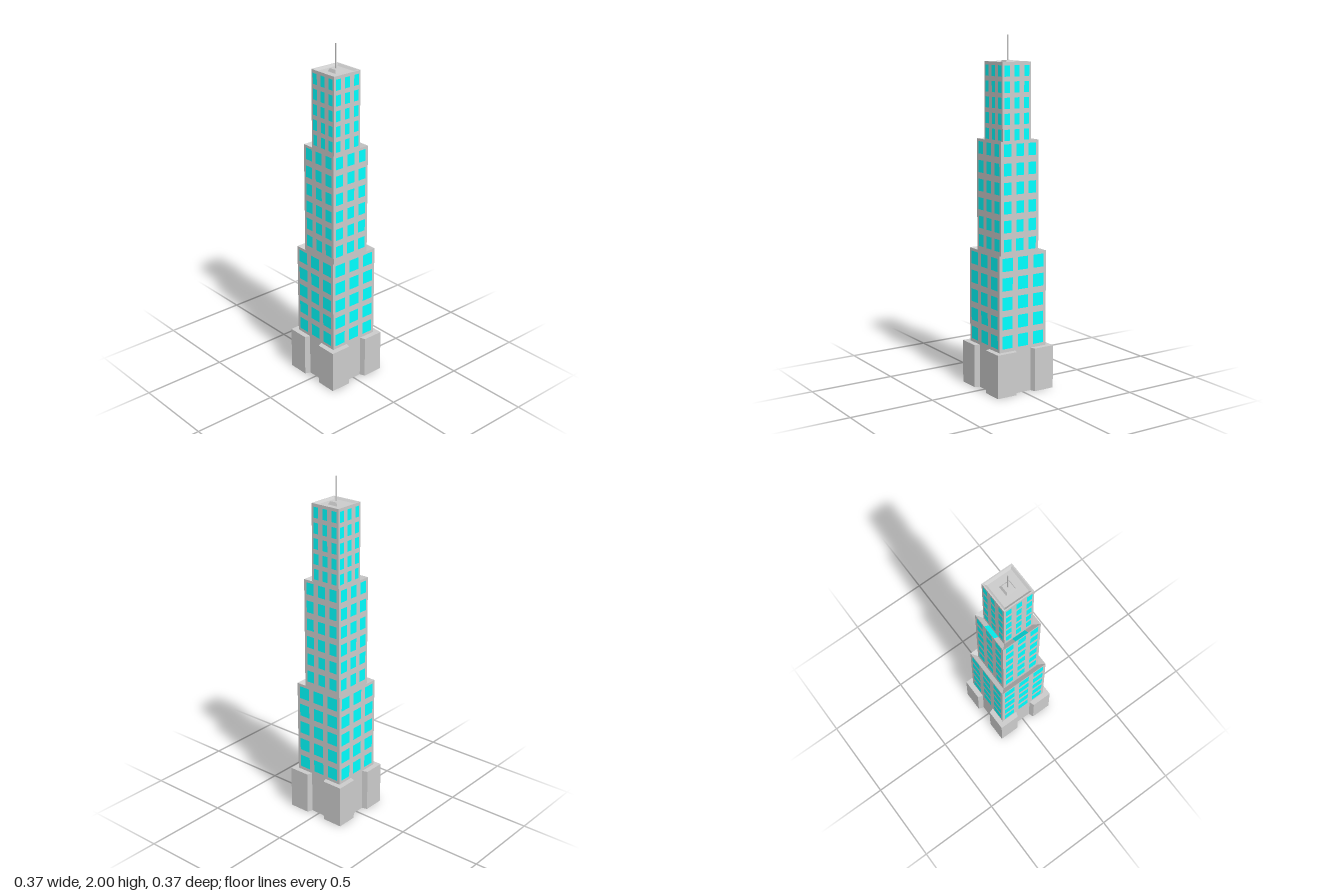
import * as THREE from 'three';

const grey = new THREE.MeshStandardMaterial({ color: 0xcccccc, flatShading: true });
const cyan = new THREE.MeshStandardMaterial({ color: 0x00ffff });

function addMesh(parent, name, geometry, material) {
  const mesh = new THREE.Mesh(geometry, material);
  mesh.name = name;
  parent.add(mesh);
  return mesh;
}

// Square "lathe": profile of [half width, y], listed bottom to top and then inward
function squareLoft(profile) {
  const points = profile.map(([w, y]) => new THREE.Vector2(w * Math.SQRT2, y));
  const geometry = new THREE.LatheGeometry(points, 4, Math.PI / 4).toNonIndexed();
  geometry.computeVertexNormals();
  return geometry;
}

// Each tier's rim slopes down and inward to meet the wall of the next tier
const tiers = [
  {
    name: 'lowerTier', half: 0.156,
    profile: [[0.156, 0.251], [0.156, 0.802], [0.1245, 0.772]],
    columns: 0.1035, width: 0.069, rows: 5, firstRow: 0.307, pitch: 0.1105, height: 0.074,
  },
  {
    name: 'middleTier', half: 0.1245,
    profile: [[0.1245, 0.772], [0.1245, 1.427], [0.093, 1.397]],
    columns: 0.082, width: 0.05, rows: 6, firstRow: 0.849, pitch: 0.1058, height: 0.069,
  },
  {
    name: 'upperTier', half: 0.093,
    profile: [[0.093, 1.397], [0.093, 1.856], [0.086, 1.856], [0.074, 1.845], [0.0, 1.845]],
    columns: 0.064, width: 0.033, rows: 5, firstRow: 1.458, pitch: 0.0873, height: 0.061,
  },
];

function buildTier(tier) {
  const group = new THREE.Group();
  group.name = tier.name;
  addMesh(group, tier.name + 'Walls', squareLoft(tier.profile), grey);
  // Three window columns on each of the four sides
  const pane = new THREE.PlaneGeometry(tier.width, tier.height);
  for (let side = 0; side < 4; side++) {
    const face = new THREE.Group();
    face.name = tier.name + 'Windows';
    face.rotation.y = side * Math.PI / 2;
    for (let row = 0; row < tier.rows; row++) {
      for (let column = -1; column <= 1; column++) {
        addMesh(face, 'window', pane, cyan)
          .position.set(column * tier.columns, tier.firstRow + row * tier.pitch, tier.half + 0.0006);
      }
    }
    group.add(face);
  }
  return group;
}

// Base plan: square with a tapered notch in the middle of each side
function buildBase() {
  const outer = 0.187, inner = 0.156, height = 0.251;
  const sidePoints = [[-outer, -outer], [-0.0625, -outer], [-0.052, -inner], [0.052, -inner], [0.0625, -outer]];
  const plan = [];
  for (let side = 0; side < 4; side++) {
    const angle = side * Math.PI / 2;
    for (const [x, y] of sidePoints) {
      plan.push(new THREE.Vector2(x, y).rotateAround(new THREE.Vector2(), angle));
    }
  }
  const geometry = new THREE.ExtrudeGeometry(new THREE.Shape(plan), { depth: height, bevelEnabled: false });
  return geometry.rotateX(-Math.PI / 2);
}

export function createModel() {
  const model = new THREE.Group();
  model.name = 'skyscraper';
  addMesh(model, 'base', buildBase(), grey);
  for (const tier of tiers) model.add(buildTier(tier));

  // Coloured panels on the sloping rim of the middle tier
  for (let side = 0; side < 4; side++) {
    const pivot = new THREE.Group();
    pivot.name = 'rimPanelSide';
    pivot.rotation.y = side * Math.PI / 2;
    const panel = addMesh(pivot, 'rimPanel', new THREE.PlaneGeometry(0.083, 0.0435), cyan);
    panel.position.set(0, 1.4125, 0.1085);
    panel.rotation.set(-Math.PI / 2 - Math.atan2(0.03, 0.0315), 0, 0);
    model.add(pivot);
  }

  // Tapered antenna foot and mast on the sunken roof
  addMesh(model, 'antennaFoot', squareLoft([[0.031, 1.845], [0.023, 1.863], [0, 1.863]]), grey);
  const mast = new THREE.CylinderGeometry(0.0035, 0.0035, 0.138, 8);
  addMesh(model, 'antennaMast', mast, grey).position.y = 1.931;
  return model;
}
